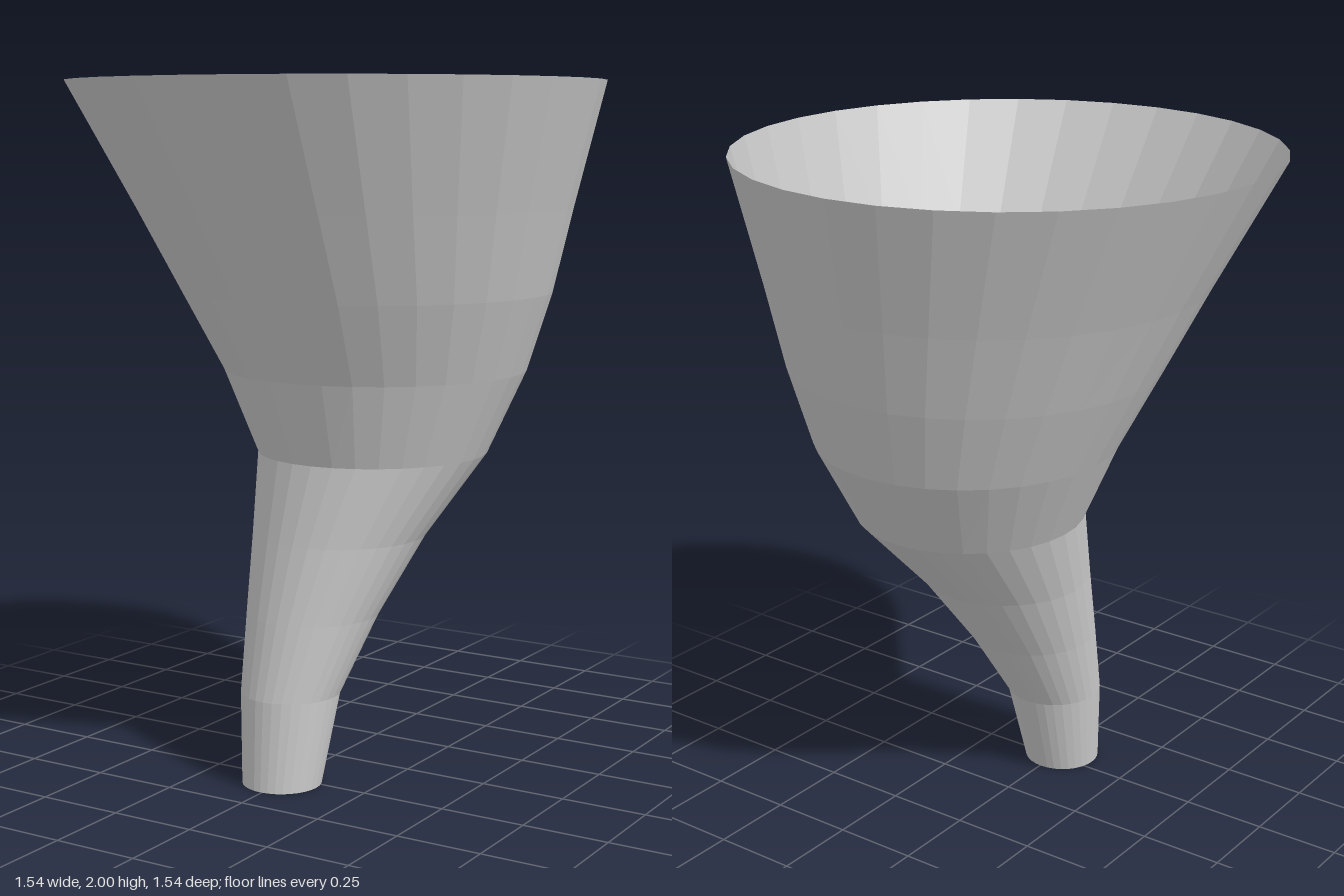
import * as THREE from 'three';

const SIDES = 32;

// Ring sections from spout to rim: [y, xMin, xMax, zMin, zMax]
const RINGS = [
  [0.00, -0.12, 0.11, 0.17, 0.40],
  [0.26, -0.147, 0.14, 0.095, 0.385],
  [0.48, -0.172, 0.21, -0.04, 0.35],
  [0.70, -0.203, 0.30, -0.20, 0.312],
  [0.93, -0.245, 0.425, -0.405, 0.277],
  [1.17, -0.36, 0.525, -0.535, 0.355],
  [1.40, -0.475, 0.605, -0.607, 0.47],
  [1.64, -0.59, 0.67, -0.67, 0.59],
  [2.00, -0.772, 0.772, -0.772, 0.772],
];

// Joins the stacked rings into one faceted skin
function loftRings(rings, sides) {
  const positions = [];
  const index = [];
  for (const [y, x0, x1, z0, z1] of rings) {
    for (let i = 0; i < sides; i++) {
      const a = (i / sides) * Math.PI * 2;
      positions.push(
        (x0 + x1) / 2 + Math.sin(a) * (x1 - x0) / 2,
        y,
        (z0 + z1) / 2 + Math.cos(a) * (z1 - z0) / 2,
      );
    }
  }
  for (let r = 0; r < rings.length - 1; r++) {
    for (let i = 0; i < sides; i++) {
      const a = r * sides + i;
      const b = r * sides + (i + 1) % sides;
      index.push(a, b, b + sides, a, b + sides, a + sides);
    }
  }
  const geometry = new THREE.BufferGeometry();
  geometry.setAttribute('position', new THREE.Float32BufferAttribute(positions, 3));
  geometry.setIndex(index);
  const faceted = geometry.toNonIndexed();
  faceted.computeVertexNormals();
  return faceted;
}

export function createModel() {
  const group = new THREE.Group();
  group.name = 'funnel';

  // Thin open shell, offset spout blending into the wide mouth
  const material = new THREE.MeshStandardMaterial({
    color: 0xcccccc, flatShading: true, side: THREE.DoubleSide,
  });
  const shell = new THREE.Mesh(loftRings(RINGS, SIDES), material);
  shell.name = 'funnelShell';
  group.add(shell);
  return group;
}
